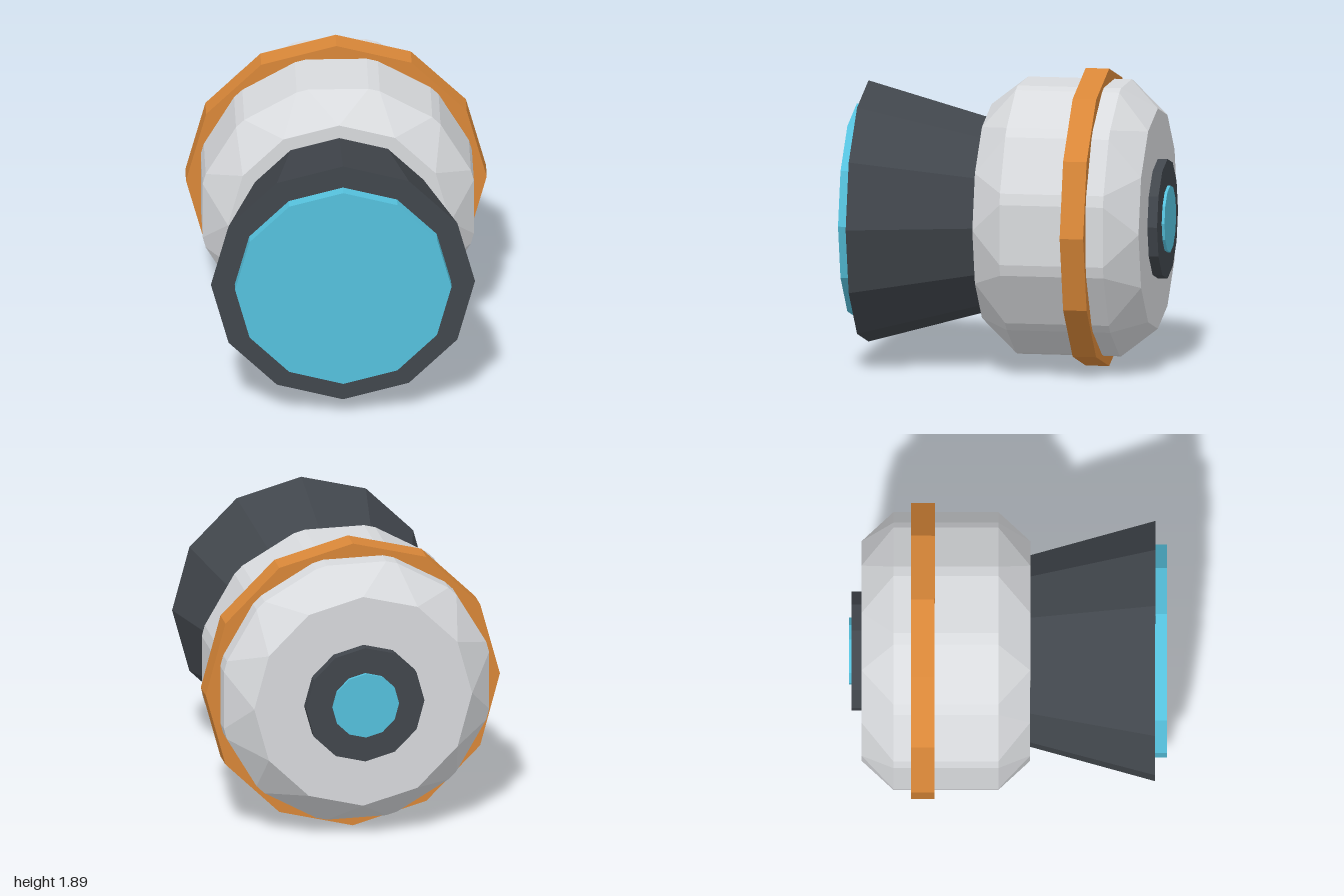
import * as THREE from 'three';
import { ConvexGeometry } from 'three/addons/geometries/ConvexGeometry.js';

const SIDES = 12;
const AXIS_Y = 0.945;

function flatMaterial(name, color) {
  const m = new THREE.MeshStandardMaterial({ color, flatShading: true });
  m.name = name;
  return m;
}

export function createModel() {
  const shell = flatMaterial('light grey shell', 0xd8dadd);
  const dark = flatMaterial('charcoal', 0x41464c);
  const accent = flatMaterial('orange', 0xd98738);
  const glass = flatMaterial('cyan glass', 0x55c1dd);

  const group = new THREE.Group();

  function add(name, geometry, material) {
    const mesh = new THREE.Mesh(geometry, material);
    mesh.name = name;
    mesh.position.y = AXIS_Y;
    group.add(mesh);
  }

  // Twelve-sided drum along z, from zBack to zFront
  function drum(name, rFront, rBack, zFront, zBack, material) {
    const g = new THREE.CylinderGeometry(rFront, rBack, zFront - zBack, SIDES);
    g.rotateX(Math.PI / 2);
    g.translate(0, 0, (zFront + zBack) / 2);
    add(name, g, material);
  }

  // Body: wide twelve-sided barrel with trimmed corners, tapering to smaller end rings
  const points = [];
  const ring = (r, angle, z) =>
    points.push(new THREE.Vector3(r * Math.cos(angle), r * Math.sin(angle), z));
  const trim = THREE.MathUtils.degToRad(2.4);
  for (let i = 0; i < SIDES; i++) {
    const a = (i / SIDES) * Math.PI * 2;
    const corner = a + Math.PI / SIDES;
    for (const z of [0.14, -0.92]) ring(0.7, a, z);
    for (const z of [-0.06, -0.72]) {
      ring(0.873, corner - trim, z);
      ring(0.873, corner + trim, z);
    }
  }
  add('body', new ConvexGeometry(points), shell);

  // Band around the body
  drum('band', 0.945, 0.945, -0.46, -0.61, accent);

  // Flared front hood and its lens
  drum('hood', 0.83, 0.6, 0.925, 0.1, dark);
  drum('lens', 0.68, 0.68, 1.0, 0.9, glass);

  // Rear cap and its small light
  drum('rearCap', 0.38, 0.38, -0.9, -0.982, dark);
  drum('rearLight', 0.213, 0.213, -0.96, -1.0, glass);

  return group;
}
